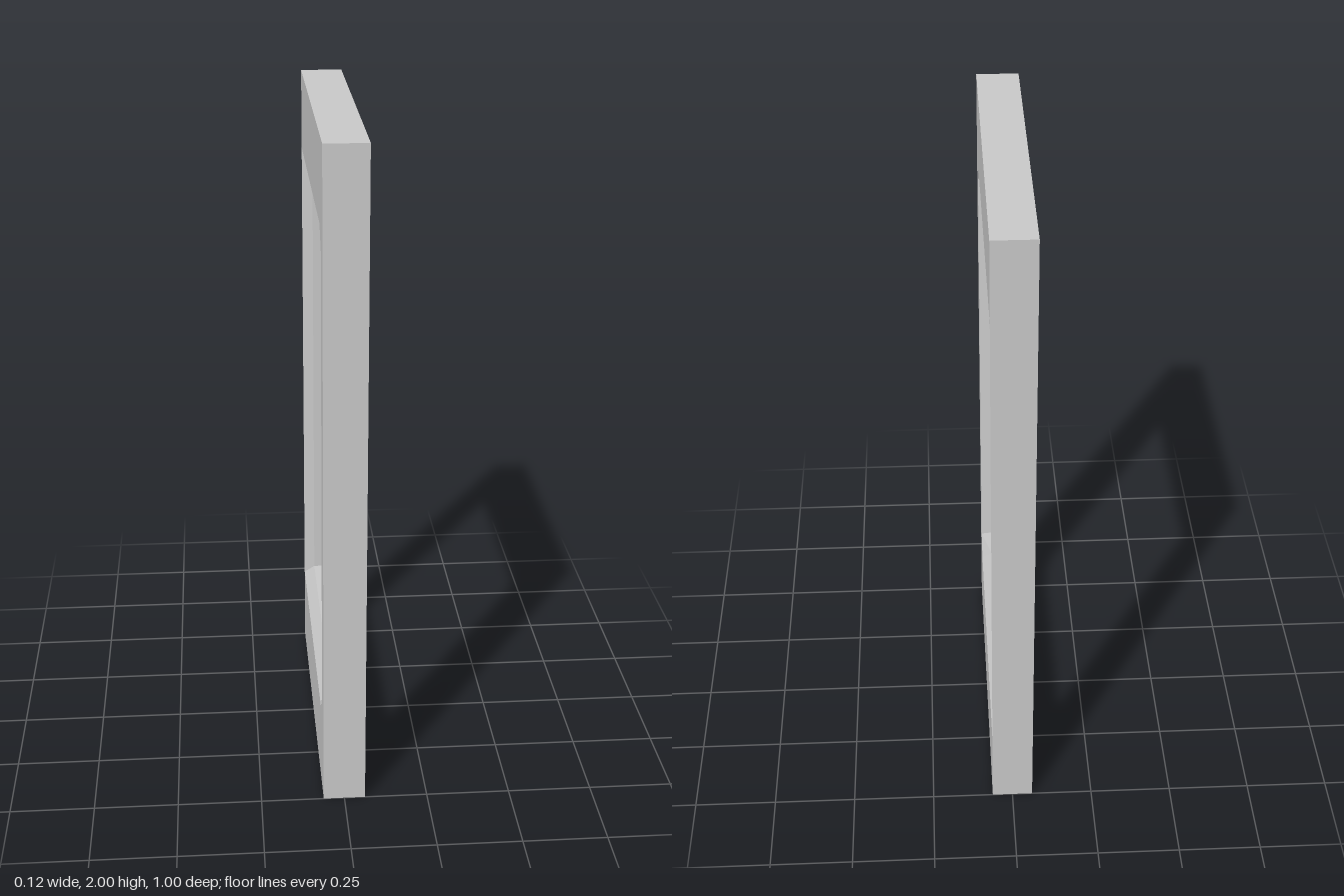
import * as THREE from 'three';

const HALF = 0.0625;  // half thickness of the slab
const CORE = 0.031;   // half thickness at the inner lip

// Loops are [u, v] with u = -z and v = y, counter-clockwise seen from +x
const outline = [[-0.5, 0], [0.5, 0], [0.5, 2], [-0.5, 2]];

// Opening with the two corners on the front post cut off
const opening = (front, back, low, high, cutU, cutLow, cutHigh) => [
  [cutU, low], [back, low], [back, high], [cutU, high], [front, cutHigh], [front, cutLow],
];
const outerEdge = opening(-0.431, 0.5, 0.248, 1.757, -0.378, 0.31, 1.696);
const innerEdge = opening(-0.396, 0.46, 0.29, 1.714, -0.344, 0.342, 1.66);

// Flat-shaded skin through a series of loops, each at its own x
function loft(rows) {
  const pos = [];
  for (let i = 0; i < rows.length - 1; i++) {
    const [A, B] = [rows[i], rows[i + 1]];
    const n = A.loop.length;
    for (let j = 0; j < n; j++) {
      const k = (j + 1) % n;
      const p = (row, m) => [row.x, row.loop[m][1], -row.loop[m][0]];
      const [a, b, c, d] = [p(A, j), p(A, k), p(B, k), p(B, j)];
      pos.push(...a, ...b, ...c, ...a, ...c, ...d);
    }
  }
  const g = new THREE.BufferGeometry();
  g.setAttribute('position', new THREE.Float32BufferAttribute(pos, 3));
  g.computeVertexNormals();
  return g;
}

// Flat C-shaped side face; the back post tapers to an edge in this plane
function sideFace(side) {
  const [a, b, c, d, e, f] = outerEdge;
  const points = [[-0.5, 0], [0.5, 0], b, a, f, e, d, c, [0.5, 2], [-0.5, 2]];
  const shape = new THREE.Shape(points.map(([u, v]) => new THREE.Vector2(side * u, v)));
  return new THREE.ShapeGeometry(shape)
    .rotateY(side * Math.PI / 2)
    .translate(side * HALF, 0, 0);
}

export function createModel() {
  const model = new THREE.Group();
  model.name = 'windowFrame';
  const material = new THREE.MeshStandardMaterial({ color: 0xcccccc, flatShading: true });
  const add = (name, geometry) => {
    const mesh = new THREE.Mesh(geometry, material);
    mesh.name = name;
    model.add(mesh);
  };

  add('leftFace', sideFace(1));
  add('rightFace', sideFace(-1));

  // Outer rim: top, bottom, front and back edges
  const rim = [...outline].reverse();
  add('outerRim', loft([{ loop: rim, x: HALF }, { loop: rim, x: -HALF }]));

  // Opening: bevel, inner lip, bevel
  add('bevelledOpening', loft([
    { loop: outerEdge, x: HALF },
    { loop: innerEdge, x: CORE },
    { loop: innerEdge, x: -CORE },
    { loop: outerEdge, x: -HALF },
  ]));

  return model;
}
